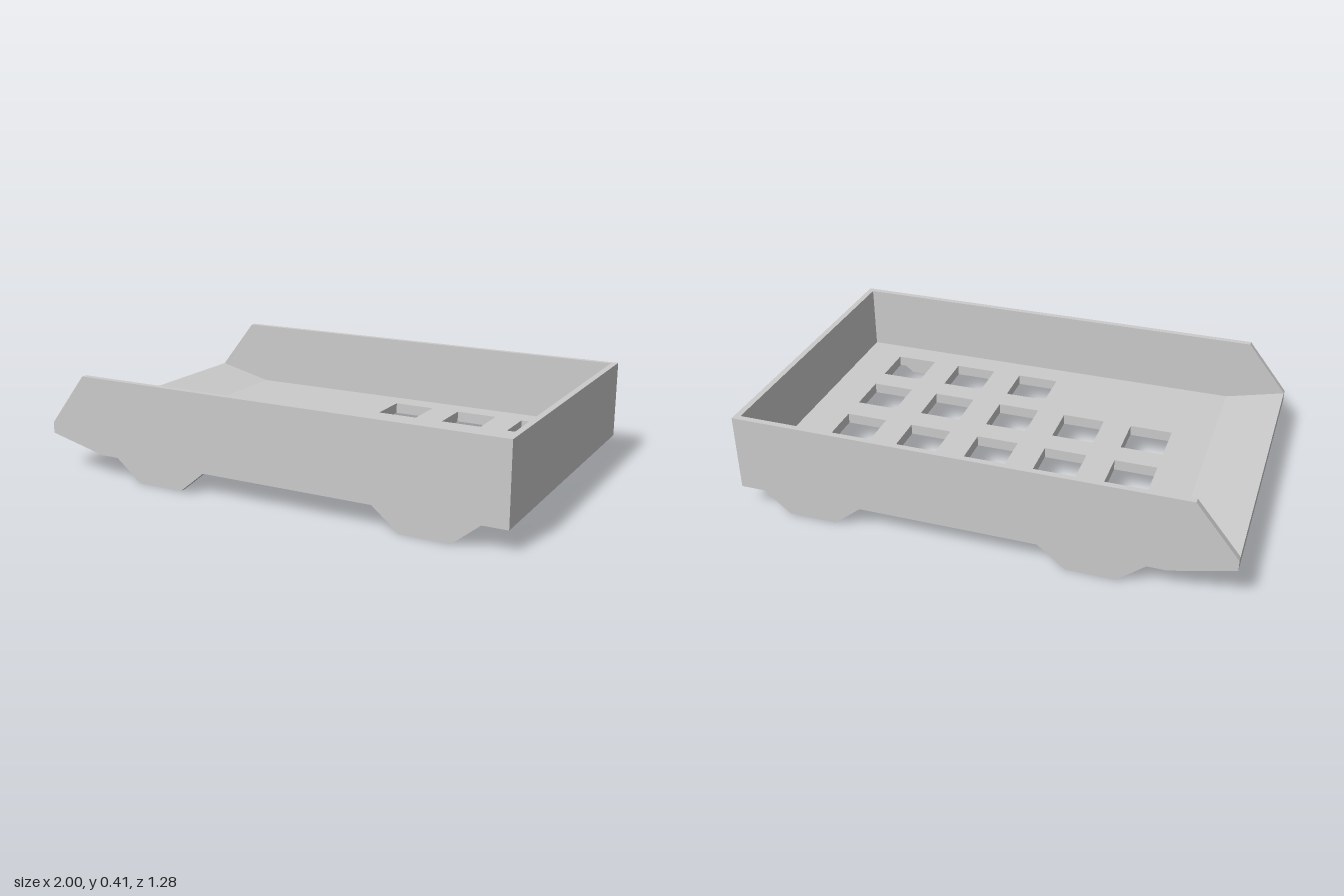
import * as THREE from 'three';

const HALF_W = 0.64, WALL = 0.025, INNER = HALF_W - WALL;
const BASE = 0.09, FLOOR = 0.045, TOP = 0.41, BEND = -0.75;

const material = new THREE.MeshStandardMaterial({ color: 0xcccccc, flatShading: true });

function polygon(points) {
  return new THREE.Shape(points.map(([x, y]) => new THREE.Vector2(x, y)));
}

function extrude(shape, depth) {
  return new THREE.ExtrudeGeometry(shape, { depth, bevelEnabled: false });
}

function addPart(group, name, geometry) {
  const mesh = new THREE.Mesh(geometry, material);
  mesh.name = name;
  group.add(mesh);
  return mesh;
}

export function createModel() {
  const model = new THREE.Group();
  model.name = 'perforatedTray';

  // Side walls: sloped open end and two tapered feet in one outline
  const foot = (x) => [[x - 0.21, BASE], [x - 0.1, 0], [x + 0.1, 0], [x + 0.21, BASE]];
  const side = polygon([
    [-1, 0.15], [BEND, BASE], ...foot(-0.46), ...foot(0.69),
    [1, BASE], [1, TOP], [-0.83, TOP], [-1, 0.195],
  ]);
  addPart(model, 'leftSideWall', extrude(side, WALL)).position.z = INNER;
  addPart(model, 'rightSideWall', extrude(side, WALL)).position.z = -HALF_W;

  // Closed end wall
  const end = addPart(model, 'endWall', new THREE.BoxGeometry(WALL, TOP - BASE, INNER * 2));
  end.position.set(1 - WALL / 2, (TOP + BASE) / 2, 0);

  // Flat floor with square holes: two per column near the lip, four elsewhere
  const floor = polygon([[BEND, -INNER], [1 - WALL, -INNER], [1 - WALL, INNER], [BEND, INNER]]);
  const rows = [-0.43, -0.145, 0.14, 0.42];
  const h = 0.09;
  for (const x of [-0.49, -0.19, 0.11, 0.415, 0.715]) {
    for (const z of x < 0 ? rows.slice(1, 3) : rows) {
      floor.holes.push(polygon([[x - h, -z - h], [x - h, -z + h], [x + h, -z + h], [x + h, -z - h]]));
    }
  }
  const floorGeometry = extrude(floor, FLOOR).rotateX(-Math.PI / 2);
  addPart(model, 'perforatedFloor', floorGeometry).position.y = BASE;

  // Raised lip at the open end
  const lip = polygon([[-1, 0.15], [BEND, BASE], [BEND, BASE + FLOOR], [-1, 0.195]]);
  addPart(model, 'rampLip', extrude(lip, INNER * 2)).position.z = -INNER;

  return model;
}
